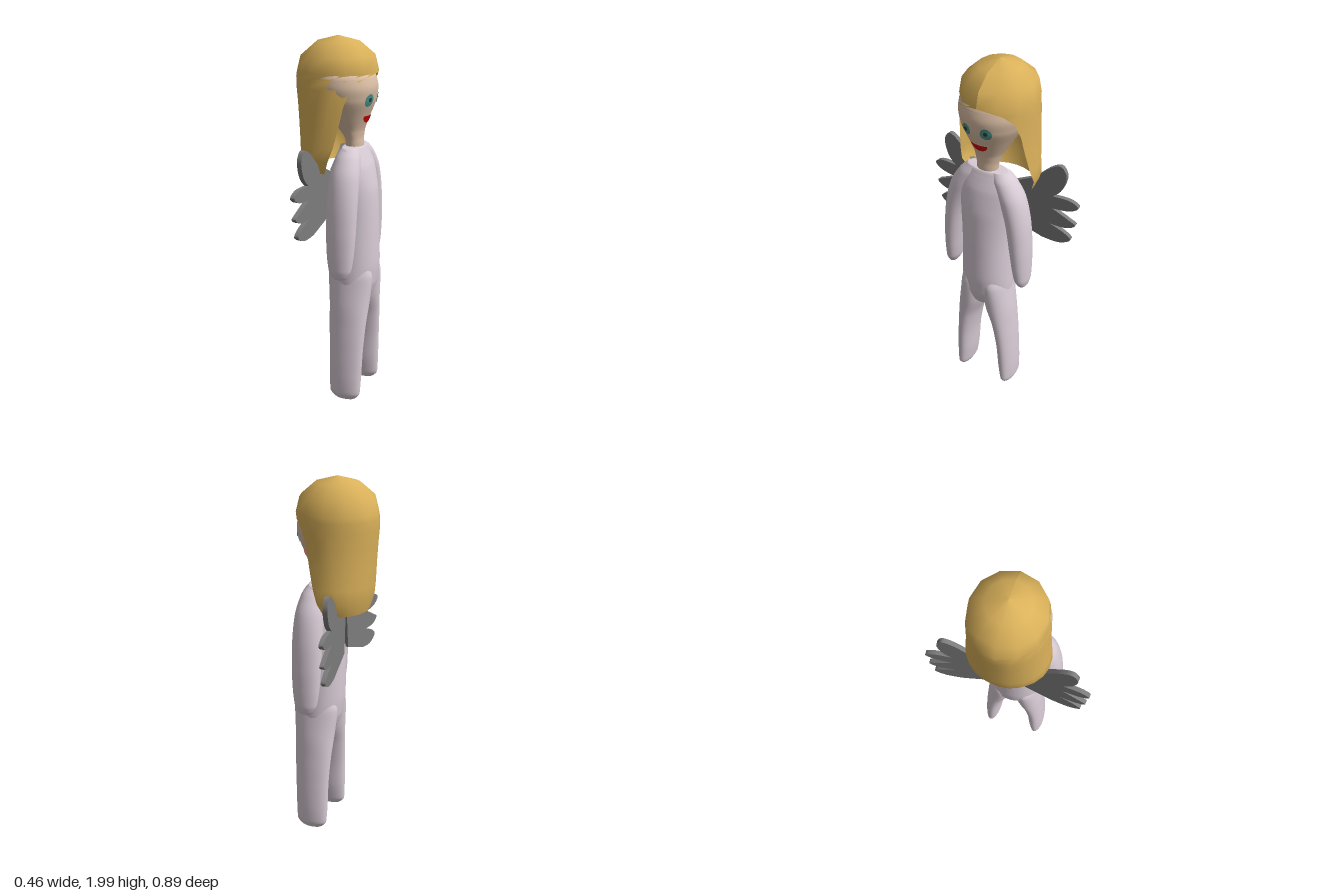
import * as THREE from 'three';

const paint = (name, color, side = THREE.FrontSide) => {
  const m = new THREE.MeshStandardMaterial({ color, side });
  m.name = name;
  return m;
};

// Surface from rows of points, listed bottom to top
function skin(rows, closed) {
  const n = rows[0].length, pos = rows.flat(2), idx = [];
  for (let j = 0; j < rows.length - 1; j++) {
    for (let i = 0; i < (closed ? n : n - 1); i++) {
      const k = (i + 1) % n, a = j * n + i, b = a + n, c = j * n + k, d = c + n;
      idx.push(a, b, c, c, b, d);
    }
  }
  const g = new THREE.BufferGeometry();
  g.setAttribute('position', new THREE.Float32BufferAttribute(pos, 3));
  g.setIndex(idx);
  g.computeVertexNormals();
  return g;
}

// Smooth body through elliptical sections [y, centreX, centreZ, radiusX, radiusZ]
function loft(sections, steps = 6, sides = 32) {
  const mid = new THREE.CatmullRomCurve3(sections.map(s => new THREE.Vector3(s[1], s[0], s[2])));
  const rad = new THREE.CatmullRomCurve3(sections.map(s => new THREE.Vector3(s[3], 0, s[4])));
  const rows = [], count = (sections.length - 1) * steps;
  for (let j = 0; j <= count; j++) {
    const c = mid.getPoint(j / count), r = rad.getPoint(j / count);
    rows.push(Array.from({ length: sides }, (_, i) => {
      const a = i / sides * Math.PI * 2;
      return [c.x + Math.max(r.x, 0.0005) * Math.cos(a), c.y, c.z + Math.max(r.z, 0.0005) * Math.sin(a)];
    }));
  }
  return skin(rows, true);
}

export function createModel() {
  const model = new THREE.Group();
  const gown = paint('pale lilac cloth', 0xd9ccd6);
  const flesh = paint('skin', 0xdcbfa5);
  const gold = paint('golden hair', 0xdab15a, THREE.DoubleSide);
  const grey = paint('grey feather', 0x7c7c7c);
  const teal = paint('teal iris', 0x4a9488, THREE.DoubleSide);
  const dark = paint('dark pupil', 0x2b3a3c, THREE.DoubleSide);
  const red = paint('red lips', 0xcc0808, THREE.DoubleSide);
  const add = (name, geo, mat) => {
    const m = new THREE.Mesh(geo, mat);
    m.name = name;
    model.add(m);
    return m;
  };

  // Torso
  add('torso', loft([
    [0.57, 0.095, 0, 0.06, 0.04], [0.6, 0.095, 0, 0.095, 0.09], [0.68, 0.094, 0, 0.125, 0.142],
    [0.8, 0.093, 0, 0.137, 0.142], [1.0, 0.09, 0, 0.135, 0.14], [1.2, 0.092, 0, 0.122, 0.15],
    [1.33, 0.09, 0, 0.095, 0.165], [1.4, 0.088, 0, 0.068, 0.145], [1.435, 0.088, 0, 0.05, 0.12],
    [1.437, 0.088, 0, 0, 0],
  ]), gown);

  for (const [side, s] of [['right', 1], ['left', -1]]) {
    // Legs
    add(side + 'Leg', loft([
      [0.01, 0.095, s * 0.147, 0, 0], [0.014, 0.095, s * 0.147, 0.05, 0.018],
      [0.05, 0.095, s * 0.146, 0.086, 0.037], [0.15, 0.095, s * 0.14, 0.092, 0.046],
      [0.3, 0.096, s * 0.131, 0.096, 0.049], [0.45, 0.096, s * 0.112, 0.104, 0.058],
      [0.58, 0.096, s * 0.084, 0.114, 0.075], [0.72, 0.095, s * 0.068, 0.124, 0.07],
      [0.8, 0.095, s * 0.065, 0.1, 0.05],
    ]), gown);

    // Arms
    add(side + 'Arm', loft([
      [0.75, 0.093, s * 0.225, 0, 0], [0.756, 0.093, s * 0.225, 0.034, 0.02],
      [0.8, 0.093, s * 0.22, 0.062, 0.038], [0.88, 0.093, s * 0.214, 0.074, 0.047],
      [1.0, 0.093, s * 0.205, 0.081, 0.055], [1.17, 0.093, s * 0.184, 0.083, 0.062],
      [1.3, 0.092, s * 0.147, 0.08, 0.069], [1.39, 0.09, s * 0.1, 0.065, 0.065],
      [1.435, 0.088, s * 0.07, 0.045, 0.05],
    ]), gown);
  }

  // Neck and tapering head
  const head = add('head', loft([
    [1.4, 0.09, 0, 0.048, 0.055], [1.47, 0.088, 0, 0.048, 0.062], [1.52, 0.075, 0, 0.066, 0.078],
    [1.6, 0.05, 0, 0.12, 0.123], [1.68, 0.03, 0, 0.17, 0.168], [1.75, 0.022, 0, 0.184, 0.184],
    [1.8, 0.015, 0, 0.178, 0.18], [1.86, 0.005, 0, 0.14, 0.14], [1.92, 0, 0, 0, 0],
  ]), flesh);

  // Painted face details, laid onto the head
  const ray = new THREE.Raycaster();
  const decal = (name, geo, mat, y, z, lift) => {
    const p = geo.attributes.position;
    for (let i = 0; i < p.count; i++) {
      const py = y + p.getY(i), pz = z - p.getX(i);
      ray.set(new THREE.Vector3(1, py, pz), new THREE.Vector3(-1, 0, 0));
      const hit = ray.intersectObject(head)[0];
      p.setXYZ(i, (hit ? hit.point.x : 0.15) + lift, py, pz);
    }
    geo.computeVertexNormals();
    add(name, geo, mat);
  };
  for (const [side, z] of [['right', 0.06], ['left', -0.055]]) {
    decal(side + 'Iris', new THREE.RingGeometry(0.0005, 0.03, 24, 4).scale(0.95, 1.1, 1), teal, 1.685, z, 0.004);
    decal(side + 'Pupil', new THREE.RingGeometry(0.0005, 0.011, 16, 2), dark, 1.688, z, 0.007);
  }
  decal('mouth', new THREE.RingGeometry(0.0005, 0.05, 20, 5, Math.PI, Math.PI).scale(1, 0.8, 1), red, 1.6, 0.005, 0.004);

  // Hair shell, open at the front: [y, radiusX, radiusZ, x of the front edge]
  const sides = 12, cx = -0.01, cz = -0.012;
  const hairRows = [
    [1.305, 0.17, 0.19, -0.01], [1.38, 0.193, 0.223, 0.02], [1.45, 0.2, 0.218, 0.045],
    [1.56, 0.206, 0.21, 0.07], [1.66, 0.213, 0.205, 0.09], [1.74, 0.221, 0.202, 0.12],
    [1.79, 0.222, 0.2, 0.165], [1.82, 0.22, 0.198, 1], [1.9, 0.198, 0.187, 1],
    [1.97, 0.115, 0.11, 1], [2.0, 0.0005, 0.0005, 1],
  ].map(([y, rx, rz, edge]) => {
    const a0 = Math.acos(Math.min(1, (edge - cx) / rx));
    return Array.from({ length: sides + 1 }, (_, i) => {
      const a = a0 + (Math.PI * 2 - 2 * a0) * i / sides;
      return [cx + rx * Math.cos(a), y, cz + rz * Math.sin(a)];
    });
  });
  add('hair', skin(hairRows, false), gold);

  // Feathered wings: one outline, turned to each side
  const wing = new THREE.Shape();
  wing.moveTo(0.03, 1.28);
  wing.lineTo(0.2, 1.36);
  const feathers = [
    [[0.28, 1.435], [0.335, 1.46], [0.365, 1.43], [0.37, 1.385], [0.345, 1.315], [0.3, 1.27]],
    [[0.395, 1.268], [0.445, 1.238], [0.395, 1.204], [0.3, 1.194]],
    [[0.39, 1.15], [0.433, 1.123], [0.38, 1.093], [0.29, 1.093]],
    [[0.37, 1.06], [0.41, 1.022], [0.345, 0.988], [0.25, 0.992]],
  ];
  for (const f of feathers) wing.splineThru(f.map(p => new THREE.Vector2(...p)));
  wing.lineTo(0.05, 1.06);
  const wingGeo = new THREE.ExtrudeGeometry(wing, { depth: 0.025, bevelEnabled: false, curveSegments: 16 });
  const turn = Math.PI / 2 + 0.09;
  const rightWing = add('rightWing', wingGeo, grey);
  rightWing.rotation.y = -turn;
  rightWing.position.x = -0.02;
  const leftWing = add('leftWing', wingGeo, grey);
  leftWing.rotation.y = turn;
  leftWing.position.x = -0.06;

  return model;
}
